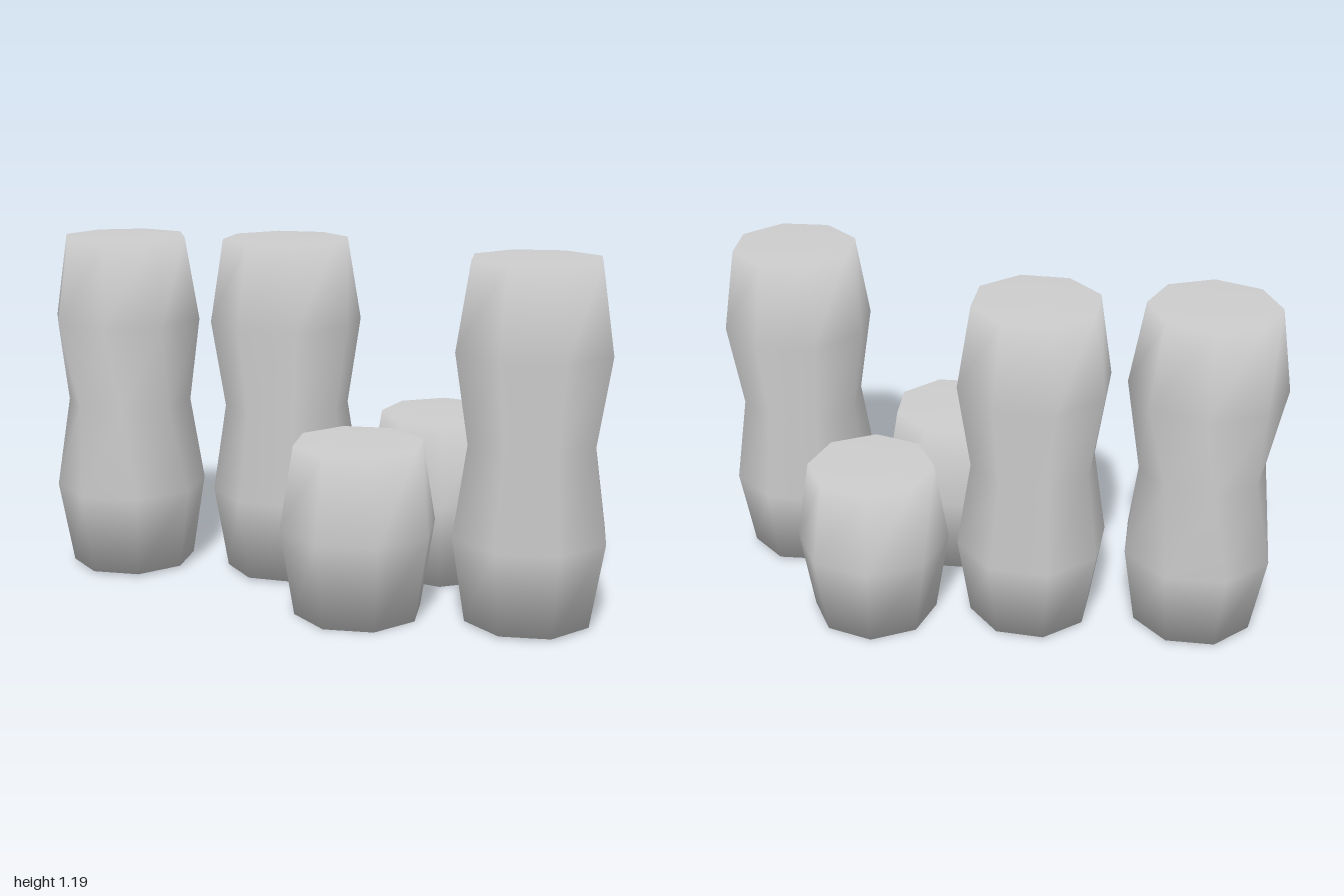
import * as THREE from 'three';

const SIDES = 8;
const BELLY = 0.264, RIM = 0.217;

// Bulging octagonal column. rings: [height, radius, turn in degrees, x shift]
function columnGeometry(rings) {
  const pos = [], nor = [], idx = [];
  const last = rings.length - 1;
  rings.forEach(([y, r, turn, dx], i) => {
    for (let j = 0; j < SIDES; j++) {
      const a = THREE.MathUtils.degToRad(turn) + (j / SIDES) * Math.PI * 2;
      const sx = Math.sin(a), sz = -Math.cos(a);
      pos.push(dx + r * sx, y, r * sz);
      // end rims blend softly into the caps
      const n = i === 0 || i === last
        ? new THREE.Vector3(sx * 0.03, i === 0 ? -1 : 1, sz * 0.03).normalize()
        : new THREE.Vector3(sx, 0, sz);
      nor.push(n.x, n.y, n.z);
    }
  });
  // side walls
  for (let i = 0; i < last; i++) {
    for (let j = 0; j < SIDES; j++) {
      const k = (j + 1) % SIDES;
      const a = i * SIDES + j, b = i * SIDES + k;
      const c = a + SIDES, d = b + SIDES;
      idx.push(a, c, b, b, c, d);
    }
  }
  // caps
  const t = last * SIDES;
  for (let k = 1; k < SIDES - 1; k++) {
    idx.push(0, k, k + 1);
    idx.push(t, t + k + 1, t + k);
  }
  const g = new THREE.BufferGeometry();
  g.setAttribute('position', new THREE.Float32BufferAttribute(pos, 3));
  g.setAttribute('normal', new THREE.Float32BufferAttribute(nor, 3));
  g.setIndex(idx);
  return g;
}

// One barrel high
const shortRings = (turn) => [
  [0.005, RIM, turn, 0], [0.3, BELLY, turn, 0], [0.582, RIM, turn, 0],
];

// Two barrels high, the upper one may be turned against the lower
const tallRings = (lower, upper, dx = 0) => [
  [0.012, RIM, lower, 0], [0.3, BELLY, lower, 0],
  [0.605, RIM, (lower + upper) / 2, dx / 2],
  [0.905, BELLY, upper, dx], [1.192, RIM, upper, dx],
];

export function createModel() {
  const model = new THREE.Group();
  model.name = 'barrelStacks';
  const grey = new THREE.MeshStandardMaterial({ color: 0xcccccc });
  grey.name = 'lightGrey';

  const columns = [
    ['rightTallColumn', -0.74, 0.266, tallRings(0, 22, 0.005)],
    ['innerTallColumn', -0.225, 0.01, tallRings(4, 2)],
    ['backShortColumn', 0.25, -0.275, shortRings(16)],
    ['frontShortColumn', 0.235, 0.248, shortRings(-2)],
    ['leftTallColumn', 0.737, 0, tallRings(-3, -3)],
  ];
  for (const [name, x, z, rings] of columns) {
    const mesh = new THREE.Mesh(columnGeometry(rings), grey);
    mesh.name = name;
    mesh.position.set(x, 0, z);
    model.add(mesh);
  }
  return model;
}
